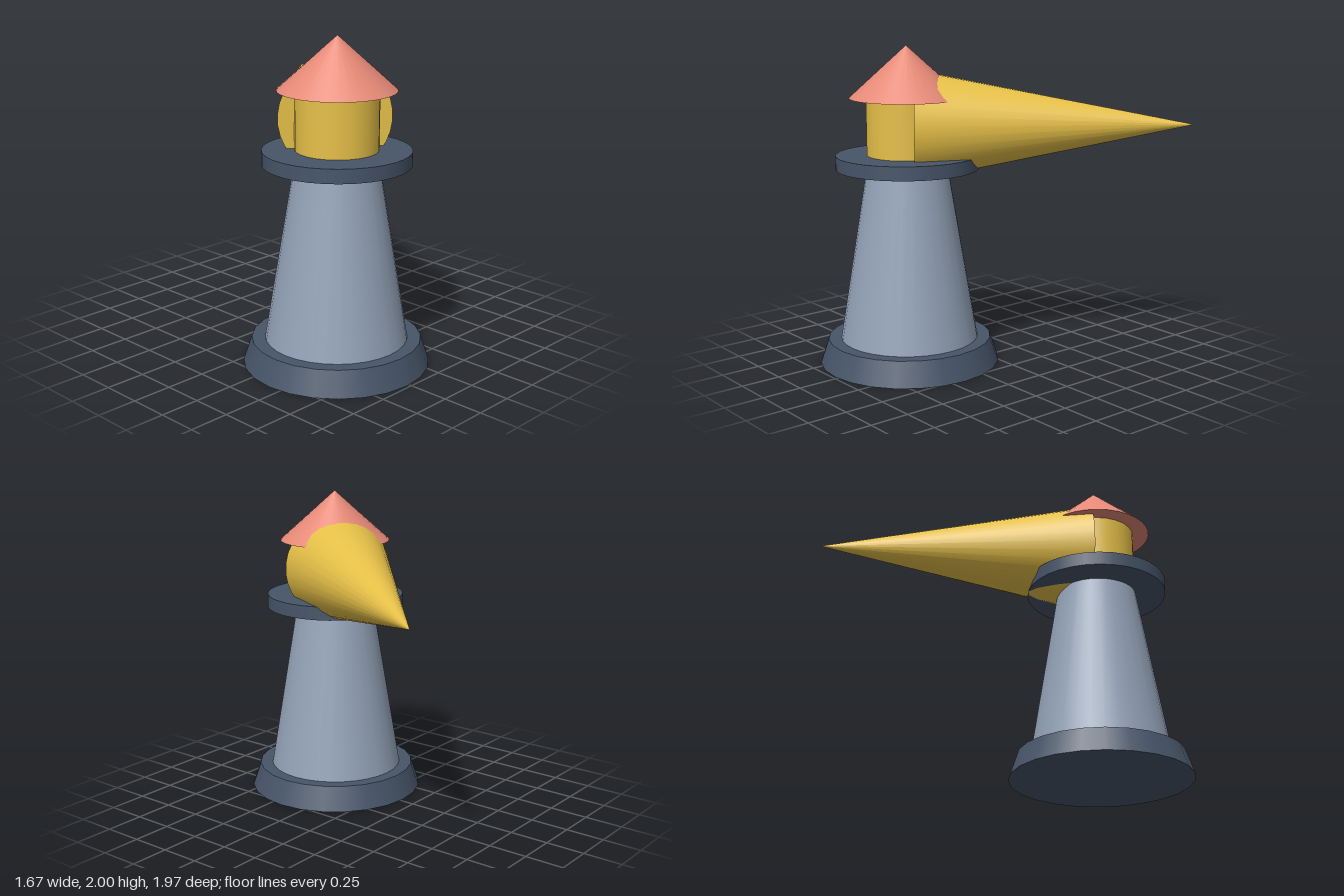
import * as THREE from 'three';

export function createModel() {
  const group = new THREE.Group();
  const mat = (name, color) => {
    const m = new THREE.MeshStandardMaterial({ color });
    m.name = name;
    return m;
  };
  const darkSlate = mat('darkSlate', 0x475569);
  const paleSlate = mat('paleSlate', 0x94a3b8);
  const gold = mat('gold', 0xe6c048);
  const coral = mat('coral', 0xe58977);

  // Tower stack: every part shares one vertical axis
  const tower = new THREE.Group();
  tower.name = 'lighthouse';
  tower.position.set(-0.274, 0, 0.417);
  group.add(tower);
  const ring = (name, rTop, rBottom, y0, y1, material, sides = 24) => {
    const mesh = new THREE.Mesh(new THREE.CylinderGeometry(rTop, rBottom, y1 - y0, sides), material);
    mesh.name = name;
    mesh.position.y = (y0 + y1) / 2;
    tower.add(mesh);
  };
  ring('base', 0.515, 0.567, 0, 0.155, darkSlate);
  ring('towerBody', 0.253, 0.433, 0.155, 1.24, paleSlate, 32);
  ring('gallery', 0.445, 0.445, 1.24, 1.326, darkSlate, 32);
  ring('lanternRoom', 0.25, 0.25, 1.326, 1.68, gold);
  ring('roof', 0, 0.355, 1.68, 2, coral, 32);

  // Light beam: cone with its wide end in the lantern, tapering to a far point
  const tip = new THREE.Vector3(0.832, 1.505, -0.985);
  const dir = new THREE.Vector3(0.62, 0, -0.784).normalize();
  const length = 1.73;
  const beam = new THREE.Mesh(new THREE.ConeGeometry(0.342, length, 32), gold);
  beam.name = 'lightBeam';
  beam.quaternion.setFromUnitVectors(new THREE.Vector3(0, 1, 0), dir);
  beam.position.copy(tip).addScaledVector(dir, -length / 2);
  group.add(beam);

  return group;
}
